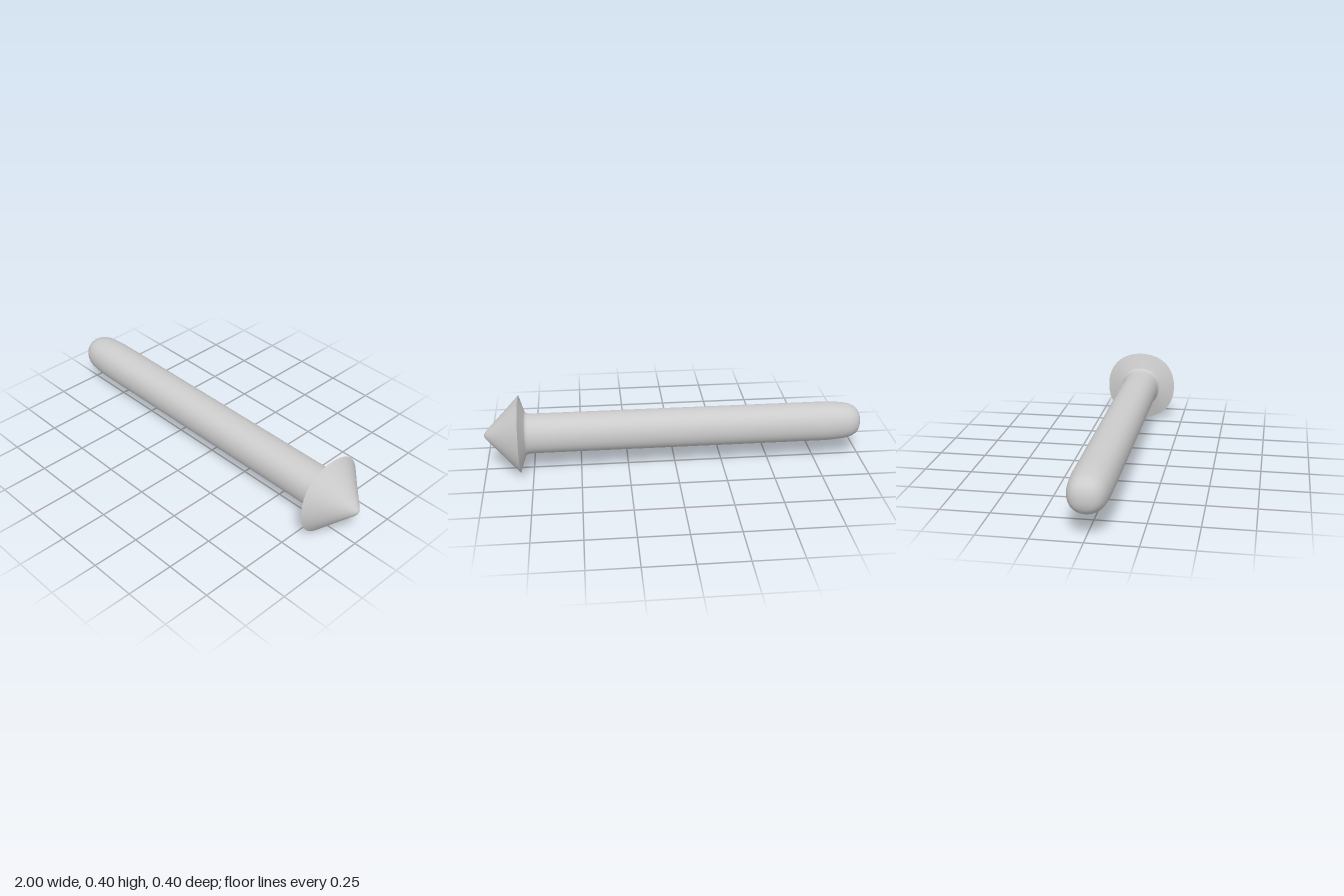
import * as THREE from 'three';
import { mergeVertices } from 'three/addons/utils/BufferGeometryUtils.js';

const RIM = 0.199;

// Lathe along +x from [x, radius] points, with a slightly squared round section
function squaredLathe(name, profile, material) {
  const points = profile.map(([x, r]) => new THREE.Vector2(r, x));
  let geometry = new THREE.LatheGeometry(points, 96);
  geometry.rotateZ(-Math.PI / 2);
  const p = geometry.attributes.position;
  for (let i = 0; i < p.count; i++) {
    const a = Math.atan2(p.getZ(i), p.getY(i));
    const swell = 1 + 0.0145 * (1 - Math.cos(4 * a));
    p.setXYZ(i, p.getX(i), p.getY(i) * swell, p.getZ(i) * swell);
  }
  // Weld the seam so the shading stays continuous
  geometry.deleteAttribute('uv');
  geometry.deleteAttribute('normal');
  geometry = mergeVertices(geometry, 1e-5);
  geometry.computeVertexNormals();
  const mesh = new THREE.Mesh(geometry, material);
  mesh.name = name;
  return mesh;
}

// Smooth curve through a few [x, radius] points
function smooth(points, steps) {
  const curve = new THREE.SplineCurve(points.map(([x, r]) => new THREE.Vector2(x, r)));
  return curve.getPoints(steps).map((v) => [v.x, Math.max(0, v.y)]);
}

export function createModel() {
  const group = new THREE.Group();
  group.name = 'boltArrow';
  const material = new THREE.MeshStandardMaterial({ color: 0xcccccc, side: THREE.DoubleSide });

  // Shaft: blunt rounded tail, long straight run, small fillet into the head
  const tail = smooth([[-1, 0], [-0.996, 0.03], [-0.982, 0.06], [-0.955, 0.081],
    [-0.91, 0.094], [-0.82, 0.101], [-0.74, 0.102]], 30);
  const fillet = smooth([[0.7, 0.102], [0.76, 0.103], [0.782, 0.11],
    [0.79, 0.126], [0.802, 0.16], [0.815, RIM]], 24);
  group.add(squaredLathe('shaft', [...tail, ...fillet], material));

  // Head: cone with a crisp rim and a softly rounded tip
  const cone = [[0.815, RIM], [0.818, 0.196], [0.87, 0.142], [0.92, 0.091], [0.96, 0.051],
    [0.98, 0.031], [0.992, 0.017], [0.998, 0.007], [1, 0]];
  group.add(squaredLathe('head', cone, material));

  group.position.y = RIM;
  return group;
}
